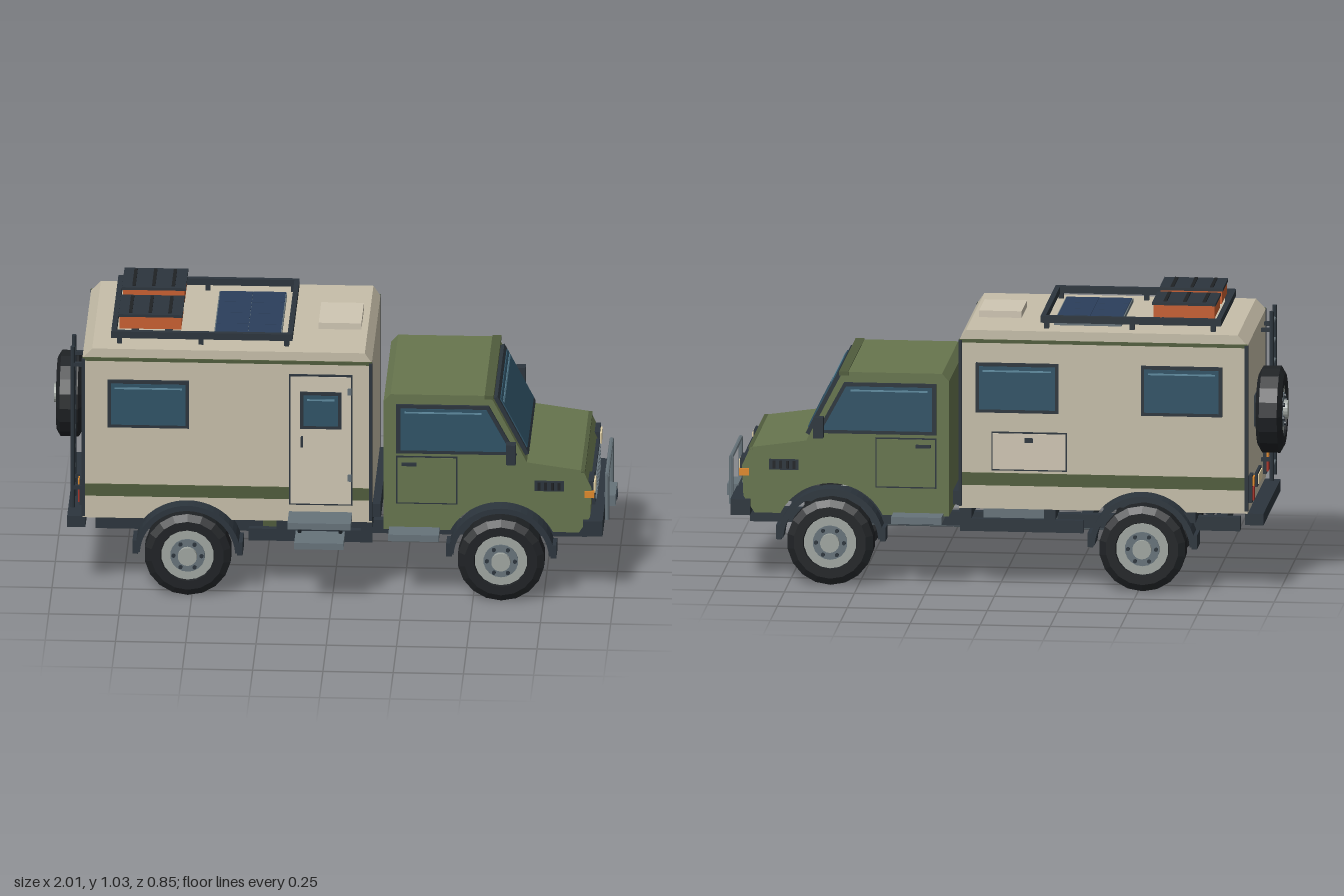
import * as THREE from 'three';

const C = { tan: 0xc6bea9, door: 0xcfc6b3, green: 0x67754e, olive: 0x505c3c, dark: 0x2c353d, black: 0x1f2225,
  glass: 0x2f5367, shine: 0x5f8ba0, grey: 0x66737a, rim: 0xa0a6a1, orange: 0xc75f31, cream: 0xe0cfa4,
  amber: 0xe08a2c, red: 0xa83226, solar: 0x2b3f5c };
const mats = {};
const mat = (c) => (mats[c] ??= new THREE.MeshStandardMaterial({ color: C[c], flatShading: true }));

export function createModel() {
  const model = new THREE.Group();
  const truck = new THREE.Group();
  truck.name = 'truck';
  truck.position.z = -0.033; // the entry steps reach further out on one side
  model.add(truck);

  const add = (name, geo, color, parent = truck) => {
    const m = new THREE.Mesh(geo, mat(color));
    m.name = name;
    parent.add(m);
    return m;
  };
  const box = (name, color, x0, x1, y0, y1, z0, z1, parent) => {
    const m = add(name, new THREE.BoxGeometry(x1 - x0, y1 - y0, Math.abs(z1 - z0)), color, parent);
    m.position.set((x0 + x1) / 2, (y0 + y1) / 2, (z0 + z1) / 2);
    return m;
  };
  const polygon = (pts) => new THREE.Shape(pts.map((p) => new THREE.Vector2(...p)));
  const slab = (name, color, shape, z0, z1) => {
    const geo = new THREE.ExtrudeGeometry(shape, { depth: Math.abs(z1 - z0), bevelEnabled: false, curveSegments: 12 });
    const m = add(name, geo, color);
    m.position.z = Math.min(z0, z1);
    return m;
  };
  const rod = (name, color, a, b, r) => {
    const p = new THREE.Vector3(...a), q = new THREE.Vector3(...b), d = q.clone().sub(p);
    const m = add(name, new THREE.CylinderGeometry(r, r, d.length(), 8), color);
    m.position.copy(p).add(q).multiplyScalar(0.5);
    m.quaternion.setFromUnitVectors(new THREE.Vector3(0, 1, 0), d.normalize());
    return m;
  };
  // Closed side profile with a wheel arch cut into its bottom edge
  const archedProfile = (pts, cx, bottom) => {
    const s = new THREE.Shape();
    pts.forEach((p, i) => (i ? s.lineTo(...p) : s.moveTo(...p)));
    const a = Math.asin((bottom - 0.157) / 0.205);
    s.absarc(cx, 0.157, 0.205, a, Math.PI - a, false);
    s.closePath();
    return s;
  };
  const sideWindow = (x0, x1, y0, y1, z, s) => {
    box('windowFrame', 'dark', x0, x1, y0, y1, z, z + s * 0.01);
    box('windowGlass', 'glass', x0 + 0.012, x1 - 0.012, y0 + 0.012, y1 - 0.012, z, z + s * 0.013);
    box('windowShine', 'shine', x0 + 0.025, x1 - 0.025, y1 - 0.031, y1 - 0.025, z, z + s * 0.015);
  };

  // Living box, trim and corner posts
  const W = 0.322;
  slab('livingBox', 'tan', archedProfile([[-0.89, 0.29], [-0.89, 0.9], [-0.855, 0.937], [0.115, 0.937],
    [0.14, 0.9], [0.14, 0.29]], -0.515, 0.29), -W, W);
  for (const s of [1, -1]) {
    box('sideStripe', 'olive', -0.885, 0.135, 0.375, 0.42, s * W, s * (W + 0.005));
    box('roofTrim', 'olive', -0.89, 0.14, 0.892, 0.904, s * W, s * (W + 0.006));
    for (const x of [-0.892, 0.13]) box('cornerPost', 'dark', x, x + 0.012, 0.3, 0.9, s * (W - 0.006), s * (W + 0.012));
    sideWindow(-0.8, -0.51, 0.64, 0.82, s * W, s);
  }
  sideWindow(-0.215, 0.08, 0.64, 0.82, -W, -1);
  box('bodyMount', 'dark', 0.14, 0.168, 0.29, 0.34, -0.27, 0.27);

  // Entry door
  box('doorSeal', 'dark', -0.155, 0.072, 0.355, 0.853, W, W + 0.007);
  box('entryDoor', 'door', -0.149, 0.066, 0.361, 0.847, W, W + 0.01);
  sideWindow(-0.115, 0.033, 0.65, 0.79, W + 0.006, 1);
  box('doorHandle', 'dark', -0.112, -0.104, 0.58, 0.62, W, W + 0.022);
  for (const y of [0.45, 0.78]) box('doorHinge', 'grey', 0.055, 0.068, y, y + 0.025, W, W + 0.015);

  // Storage hatch on the far side
  box('hatchSeal', 'dark', -0.245, 0.025, 0.43, 0.57, -W, -W - 0.006);
  box('storageHatch', 'door', -0.24, 0.02, 0.435, 0.565, -W, -W - 0.009);
  box('hatchLatch', 'dark', -0.125, -0.095, 0.535, 0.55, -W, -W - 0.018);

  // Folding entry steps
  box('upperStep', 'grey', -0.155, 0.07, 0.303, 0.327, 0.29, 0.435);
  box('lowerStep', 'grey', -0.13, 0.045, 0.236, 0.26, 0.34, 0.457);
  for (const x of [-0.115, 0.03]) rod('stepBrace', 'dark', [x, 0.305, 0.39], [x, 0.255, 0.35], 0.007);

  // Cab
  const H = 0.284;
  slab('cab', 'green', archedProfile([[0.18, 0.25], [0.18, 0.74], [0.205, 0.767], [0.56, 0.767], [0.69, 0.515],
    [0.89, 0.487], [0.92, 0.42], [0.915, 0.31], [0.875, 0.25]], 0.6, 0.25), -H, H);
  box('roofLip', 'olive', 0.54, 0.572, 0.755, 0.77, -H - 0.006, H + 0.006);
  box('hoodEdge', 'olive', 0.882, 0.897, 0.478, 0.488, -H, H);
  for (const s of [1, -1]) {
    const z = s * H;
    slab('cabWindowFrame', 'dark', polygon([[0.225, 0.545], [0.225, 0.73], [0.555, 0.73], [0.655, 0.545]]), z, z + s * 0.01);
    slab('cabWindowGlass', 'glass', polygon([[0.24, 0.558], [0.24, 0.717], [0.547, 0.717], [0.633, 0.558]]), z, z + s * 0.013);
    box('windowShine', 'shine', 0.255, 0.53, 0.7, 0.706, z, z + s * 0.015);
    box('cabDoorGap', 'dark', 0.225, 0.443, 0.35, 0.532, z, z + s * 0.003);
    box('cabDoorPanel', 'green', 0.23, 0.438, 0.355, 0.527, z, z + s * 0.005);
    box('cabDoorHandle', 'dark', 0.245, 0.298, 0.498, 0.509, z, z + s * 0.015);
    box('hoodVent', 'dark', 0.718, 0.822, 0.408, 0.446, z, z + s * 0.006);
    for (let i = 0; i < 4; i++) box('ventSlat', 'black', 0.728 + i * 0.024, 0.738 + i * 0.024, 0.413, 0.441, z, z + s * 0.01);
    box('cabStep', 'grey', 0.2, 0.38, 0.235, 0.26, s * 0.22, s * 0.362);
    rod('mirrorArm', 'dark', [0.63, 0.57, s * 0.275], [0.635, 0.552, s * 0.36], 0.006);
    box('mirror', 'dark', 0.62, 0.655, 0.545, 0.62, s * 0.353, s * 0.389);
  }

  // Windscreen, laid on the sloping front of the cab
  const screen = new THREE.Group();
  screen.name = 'windscreen';
  screen.position.set(0.626, 0.641, 0);
  screen.rotation.z = Math.atan2(0.13, 0.252);
  truck.add(screen);
  box('windscreenFrame', 'dark', -0.005, 0.014, -0.125, 0.118, -0.254, 0.254, screen);
  box('windscreenGlass', 'glass', 0, 0.018, -0.105, 0.1, -0.238, 0.238, screen);
  box('windscreenShine', 'shine', 0, 0.02, 0.078, 0.086, -0.225, 0.225, screen);

  // Grille, lights, bumper, winch and guard bar
  box('grille', 'dark', 0.9, 0.928, 0.31, 0.43, -0.165, 0.165);
  for (let i = 0; i < 4; i++) box('grilleSlat', 'grey', 0.92, 0.933, 0.33 + i * 0.026, 0.337 + i * 0.026, -0.155, 0.155);
  box('frontBumper', 'dark', 0.89, 0.96, 0.243, 0.3, -0.302, 0.302);
  box('winch', 'grey', 0.955, 0.995, 0.265, 0.306, -0.065, 0.065);
  box('winchDrum', 'dark', 0.98, 1.0, 0.276, 0.294, -0.03, 0.03);
  for (const s of [1, -1]) {
    box('headlightHousing', 'dark', 0.89, 0.927, 0.384, 0.446, s * 0.188, s * 0.28);
    box('headlight', 'cream', 0.9, 0.933, 0.396, 0.436, s * 0.2, s * 0.268);
    box('indicator', 'amber', 0.895, 0.93, 0.385, 0.41, s * 0.275, s * 0.291);
    rod('guardPost', 'grey', [0.97, 0.255, s * 0.165], [0.97, 0.428, s * 0.165], 0.008);
  }
  rod('guardTopBar', 'grey', [0.97, 0.426, -0.172], [0.97, 0.426, 0.172], 0.008);

  // Chassis
  for (const s of [1, -1]) {
    box('chassisRail', 'dark', -0.85, 0.9, 0.2, 0.25, s * 0.165, s * 0.2);
    box('sideGuard', 'dark', -0.3, 0.14, 0.2, 0.245, s * 0.265, s * 0.29);
    for (const x of [-0.7, -0.2, 0.1]) box('bodySupport', 'dark', x, x + 0.04, 0.245, 0.295, s * 0.16, s * 0.29);
  }
  for (const x of [-0.8, -0.32, 0.12, 0.82]) box('crossMember', 'dark', x, x + 0.04, 0.205, 0.245, -0.17, 0.17);
  box('waterTank', 'olive', -0.25, 0.06, 0.2, 0.292, 0.12, 0.25);
  box('fuelTank', 'grey', -0.2, 0.06, 0.195, 0.288, -0.135, -0.25);

  // Wheels, axles and arches
  const tyreProfile = [[0.09, -0.046], [0.13, -0.046], [0.155, -0.032], [0.155, 0.032], [0.13, 0.046], [0.097, 0.046], [0.092, 0.03]]
    .map((p) => new THREE.Vector2(...p));
  const wheel = (name, x, y, z) => {
    const g = new THREE.Group();
    g.name = name;
    g.position.set(x, y, z);
    truck.add(g);
    add('tyre', new THREE.LatheGeometry(tyreProfile, 18), 'black', g);
    const disc = (n, c, r, y0, y1) => {
      const m = add(n, new THREE.CylinderGeometry(r, r, y1 - y0, 18), c, g);
      m.position.y = (y0 + y1) / 2;
      return m;
    };
    disc('rim', 'rim', 0.094, -0.045, 0.038);
    disc('rimRing', 'grey', 0.062, 0, 0.043);
    disc('hub', 'rim', 0.034, 0, 0.058);
    for (let i = 0; i < 6; i++) {
      const b = disc('wheelNut', 'dark', 0.007, 0.03, 0.05), a = (i * Math.PI) / 3;
      b.position.x = 0.05 * Math.cos(a);
      b.position.z = 0.05 * Math.sin(a);
    }
    return g;
  };
  for (const [x, name, outer] of [[-0.515, 'rear', 0.338], [0.6, 'front', 0.312]]) {
    rod(name + 'Axle', 'grey', [x, 0.16, -0.27], [x, 0.16, 0.27], 0.017);
    box(name + 'Differential', 'dark', x - 0.045, x + 0.045, 0.13, 0.195, -0.038, 0.038);
    for (const s of [1, -1]) {
      wheel(name + 'Wheel', x, 0.157, s * 0.296).rotation.x = (s * Math.PI) / 2;
      const arch = new THREE.Shape();
      arch.absarc(x, 0.157, 0.19, 0.06, Math.PI - 0.06, false);
      arch.absarc(x, 0.157, 0.17, Math.PI - 0.06, 0.06, true);
      slab(name + 'WheelArch', 'dark', arch, s * 0.235, s * outer);
      for (const d of [1, -1]) box('mudFlap', 'dark', x + d * 0.186 - 0.01, x + d * 0.186 + 0.01, 0.16, 0.21, s * 0.24, s * outer);
      box('leafSpring', 'dark', x - 0.12, x + 0.12, 0.178, 0.2, s * 0.168, s * 0.197);
    }
  }
  rod('driveShaft', 'grey', [-0.5, 0.165, 0], [0.58, 0.165, 0], 0.012);

  // Rear: spare wheel, ladder, bumper and lights
  wheel('spareWheel', -0.95, 0.615, -0.05).rotation.z = Math.PI / 2;
  box('spareBracket', 'dark', -0.93, -0.885, 0.56, 0.67, -0.1, 0);
  box('rearBumper', 'dark', -0.945, -0.88, 0.245, 0.287, -0.305, 0.305);
  for (const z of [0.165, 0.275]) {
    rod('ladderRail', 'dark', [-0.927, 0.31, z], [-0.927, 0.925, z], 0.008);
    for (const y of [0.38, 0.85]) box('ladderMount', 'dark', -0.927, -0.885, y, y + 0.014, z - 0.007, z + 0.007);
  }
  for (let i = 0; i < 8; i++) rod('ladderRung', 'grey', [-0.927, 0.36 + i * 0.074, 0.165], [-0.927, 0.36 + i * 0.074, 0.275], 0.006);
  for (const s of [1, -1]) {
    box('tailLightHousing', 'dark', -0.902, -0.885, 0.32, 0.42, s * 0.225, s * 0.28);
    box('tailLight', 'red', -0.908, -0.89, 0.328, 0.375, s * 0.233, s * 0.272);
    box('rearIndicator', 'amber', -0.908, -0.89, 0.38, 0.412, s * 0.233, s * 0.272);
  }
  box('plateHolder', 'dark', -0.9, -0.885, 0.335, 0.385, -0.07, 0.07);
  box('plate', 'cream', -0.904, -0.89, 0.343, 0.377, -0.06, 0.06);

  // Roof: rack, crates, solar panel and hatch
  for (const s of [1, -1]) {
    box('rackSideRail', 'dark', -0.79, -0.145, 0.957, 0.982, s * 0.25, s * 0.268);
    for (const x of [-0.77, -0.48, -0.175]) box('rackFoot', 'dark', x, x + 0.018, 0.935, 0.96, s * 0.25, s * 0.268);
    box('crate', 'orange', -0.762, -0.543, 0.975, 1.022, s * 0.037, s * 0.22);
    box('crateLid', 'dark', -0.766, -0.539, 1.02, 1.03, s * 0.035, s * 0.222);
    for (const x of [-0.73, -0.66, -0.59]) box('lidRib', 'black', x, x + 0.012, 1.028, 1.034, s * 0.05, s * 0.207);
  }
  for (const x of [-0.79, -0.163]) box('rackEndRail', 'dark', x, x + 0.018, 0.957, 0.982, -0.268, 0.268);
  for (const x of [-0.72, -0.6]) box('rackSlat', 'dark', x, x + 0.025, 0.957, 0.976, -0.25, 0.25);
  box('solarFrame', 'grey', -0.428, -0.187, 0.935, 0.951, -0.21, 0.21);
  for (let i = 0; i < 4; i++) for (let j = 0; j < 2; j++)
    box('solarCell', 'solar', -0.424 + j * 0.117, -0.308 + j * 0.117, 0.94, 0.954, -0.206 + i * 0.1035, -0.1045 + i * 0.1035);
  box('roofHatch', 'door', -0.06, 0.092, 0.93, 0.961, -0.098, 0.098);

  return model;
}
